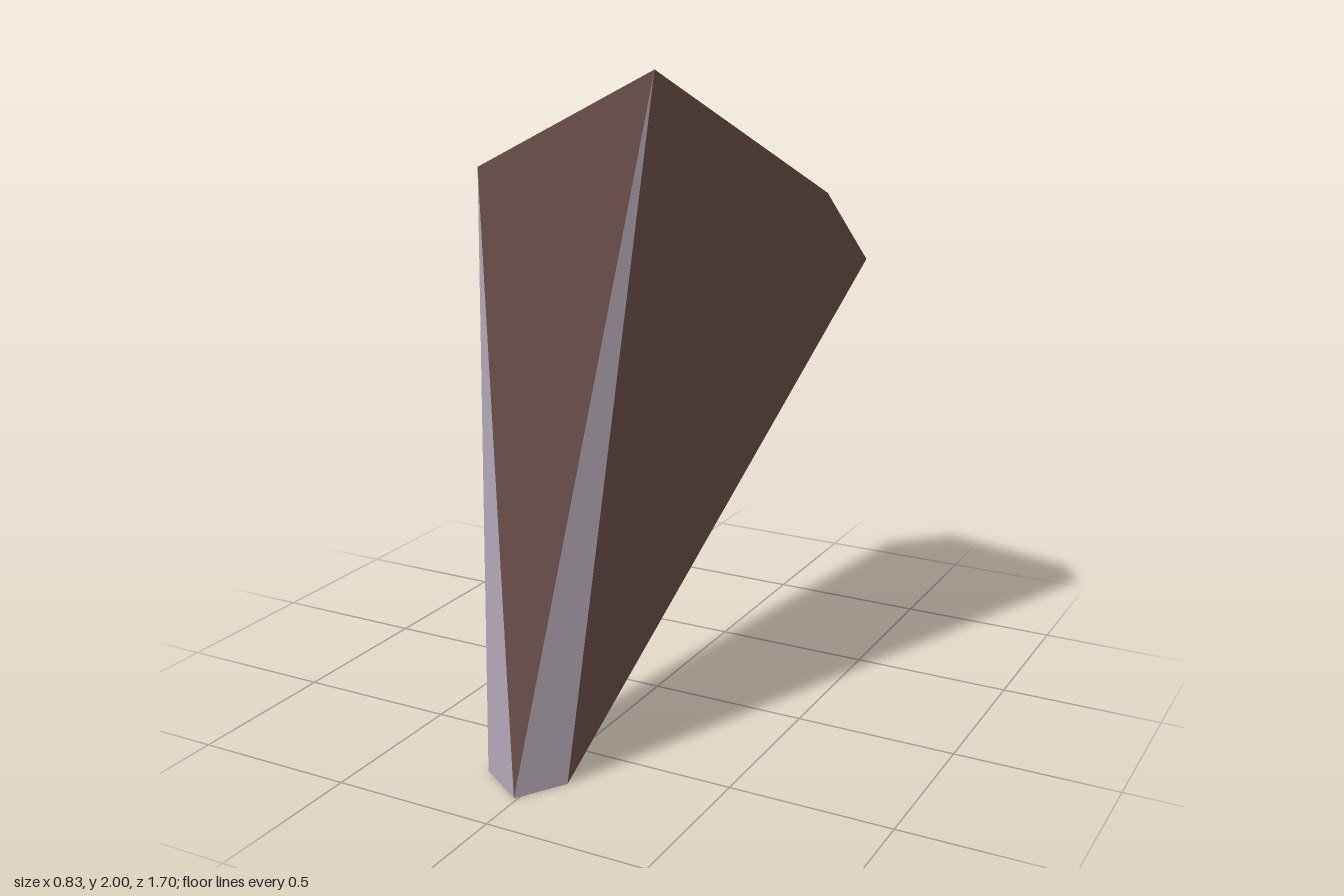
import * as THREE from 'three';

// Corners of the faceted shard
const P = {
  // narrow foot
  footLeft: [-0.165, 0, 0.74], footFront: [-0.01, 0, 0.845],
  footRight: [0.08, 0, 0.70], footBack: [-0.06, 0.01, 0.59],
  // wide crown
  peak: [0.14, 2, 0.28], frontTip: [-0.26, 1.74, 0.57],
  leftBack: [-0.42, 1.745, -0.27], leftFront: [-0.39, 1.53, 0.36],
  ridge: [-0.20, 1.68, -0.52], rightHigh: [0.405, 1.59, -0.35],
  rightLow: [0.415, 1.33, -0.67], backTip: [-0.03, 1.15, -0.85],
};

const crownFaces = [
  ['peak', 'frontTip', 'leftBack'], ['peak', 'leftBack', 'ridge'],
  ['peak', 'ridge', 'rightHigh'], ['ridge', 'rightHigh', 'rightLow'],
  ['ridge', 'rightLow', 'backTip'], ['ridge', 'backTip', 'leftBack'],
  ['leftBack', 'leftFront', 'frontTip'],
];
const sideFaces = [
  ['peak', 'frontTip', 'footFront'], ['peak', 'footRight', 'rightHigh'],
  ['rightHigh', 'footRight', 'rightLow'], ['rightLow', 'footRight', 'backTip'],
  ['backTip', 'footRight', 'footBack'], ['backTip', 'footBack', 'footLeft'],
  ['backTip', 'footLeft', 'leftBack'], ['leftBack', 'footLeft', 'leftFront'],
  ['leftFront', 'footLeft', 'frontTip'],
];
const footFaces = [
  ['footLeft', 'footFront', 'footRight'], ['footLeft', 'footRight', 'footBack'],
];
const veinFaces = [
  ['frontTip', 'footLeft', 'footFront'], ['peak', 'footFront', 'footRight'],
];

// Average of all corners, used to turn every facet outwards
const centre = Object.values(P)
  .reduce((sum, p) => sum.add(new THREE.Vector3(...p)), new THREE.Vector3())
  .divideScalar(Object.keys(P).length);

function facets(name, faces, material) {
  const points = [];
  for (const face of faces) {
    const [a, b, c] = face.map((key) => new THREE.Vector3(...P[key]));
    const normal = b.clone().sub(a).cross(c.clone().sub(a));
    const outward = normal.dot(a.clone().sub(centre)) > 0;
    points.push(...(outward ? [a, b, c] : [a, c, b]));
  }
  const geometry = new THREE.BufferGeometry().setFromPoints(points);
  geometry.computeVertexNormals(); // unshared corners give flat facets
  const mesh = new THREE.Mesh(geometry, material);
  mesh.name = name;
  return mesh;
}

export function createModel() {
  const brown = new THREE.MeshStandardMaterial({ color: 0x6b4f48 });
  brown.name = 'brown stone';
  const grey = new THREE.MeshStandardMaterial({ color: 0xb0a6b4 });
  grey.name = 'pale grey vein';

  const group = new THREE.Group();
  group.name = 'rockShard';
  group.add(
    facets('crown', crownFaces, brown),
    facets('sides', sideFaces, brown),
    facets('foot', footFaces, brown),
    facets('veins', veinFaces, grey),
  );
  return group;
}
